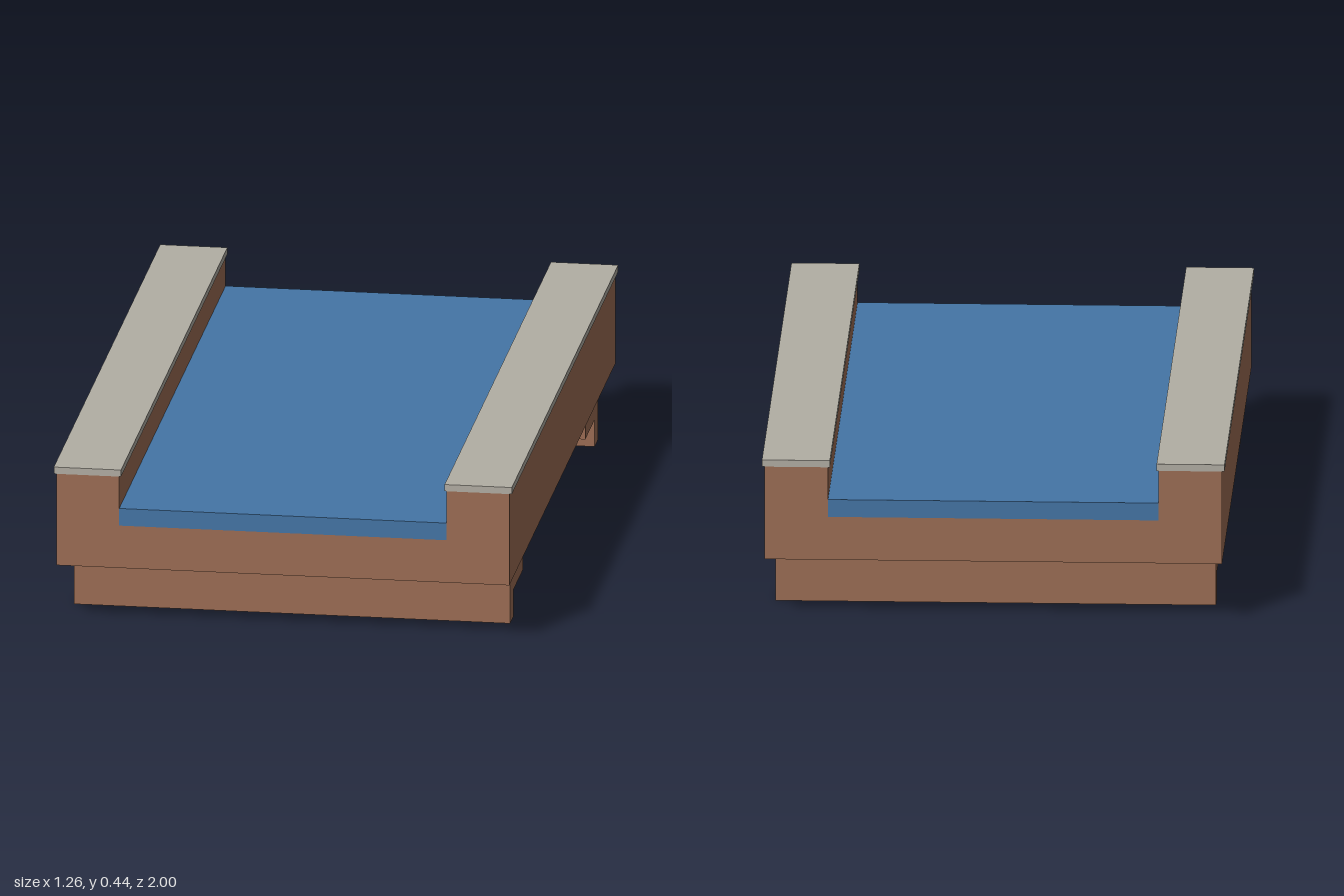
import * as THREE from 'three';

const material = (name, color) => {
  const m = new THREE.MeshStandardMaterial({ color });
  m.name = name;
  return m;
};

// Extrude a closed outline along z, centred on the origin
function prism(name, points, depth, mat) {
  const shape = new THREE.Shape(points.map(([x, y]) => new THREE.Vector2(x, y)));
  const geometry = new THREE.ExtrudeGeometry(shape, { depth, bevelEnabled: false });
  geometry.translate(0, 0, -depth / 2);
  const mesh = new THREE.Mesh(geometry, mat);
  mesh.name = name;
  return mesh;
}

// Mirror half an outline across x = 0
const mirrored = (half) => [...half, ...half.map(([x, y]) => [-x, y]).reverse()];

function box(name, [x0, x1], [y0, y1], [z0, z1], mat) {
  const mesh = new THREE.Mesh(new THREE.BoxGeometry(x1 - x0, y1 - y0, z1 - z0), mat);
  mesh.position.set((x0 + x1) / 2, (y0 + y1) / 2, (z0 + z1) / 2);
  mesh.name = name;
  return mesh;
}

export function createModel() {
  const brick = material('brick', 0x9c6d54);
  const water = material('water', 0x4475a6);
  const stone = material('stone', 0xb2aea4);

  const model = new THREE.Group();
  model.name = 'aqueductSection';

  // U-shaped channel: floor slab and two side walls
  model.add(prism('channel', mirrored([
    [0.623, 0.165], [0.623, 0.426], [0.45, 0.426], [0.45, 0.286],
  ]), 2, brick));

  // Water filling the channel
  model.add(box('water', [-0.45, 0.45], [0.286, 0.335], [-1, 1], water));

  // Coping stones, slightly wider than the walls
  for (const [name, s] of [['leftCoping', 1], ['rightCoping', -1]]) {
    const coping = box(name, [0.445, 0.63], [0.426, 0.445], [-1, 1], stone);
    coping.position.x *= s;
    model.add(coping);
  }

  // Stepped arch under the channel, running across the full width
  const arch = prism('steppedArch', mirrored([
    [0.827, 0.166], [0.827, 0], [0.762, 0], [0.762, 0.077],
    [0.585, 0.077], [0.585, 0.131], [0.317, 0.131], [0.317, 0.159],
  ]), 1.2, brick);
  arch.rotation.y = Math.PI / 2;
  model.add(arch);

  return model;
}
